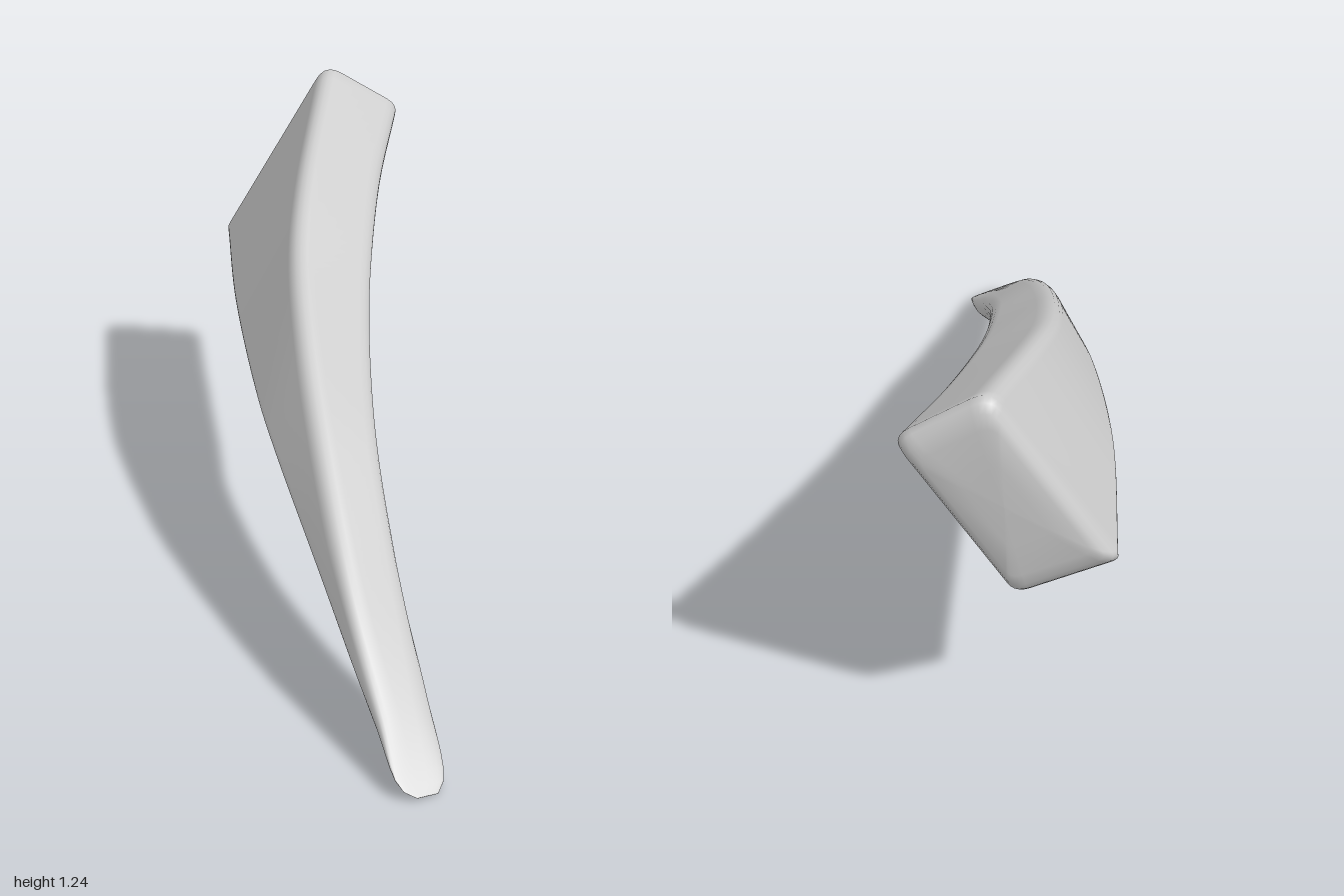
import * as THREE from 'three';

const curve = (...pts) => new THREE.CatmullRomCurve3(pts.map(p => new THREE.Vector3(...p)));

// The four long edges of the horn, from the broad base to the flat tip
const edges = [
  curve([-0.81, 1.25, -0.59], [-0.49, 1.06, -0.2], [-0.3, 0.94, 0], [-0.05, 0.79, 0.2], [0.24, 0.6, 0.4],
    [0.57, 0.36, 0.6], [0.8, 0.17, 0.71], [0.95, 0.04, 0.783], [0.985, 0.012, 0.755]),
  curve([-0.66, 1.1, -0.78], [-0.45, 0.98, -0.5], [-0.18, 0.82, -0.2], [0.03, 0.69, 0], [0.27, 0.55, 0.2],
    [0.57, 0.33, 0.4], [0.8, 0.16, 0.54], [0.98, 0.025, 0.65], [1, 0.002, 0.69]),
  curve([-0.84, 0.585, -0.53], [-0.4, 0.55, -0.2], [-0.17, 0.5, 0], [0.13, 0.41, 0.2], [0.47, 0.27, 0.4],
    [0.8, 0.1, 0.54], [0.98, 0.018, 0.65], [1, 0, 0.69]),
  curve([-1, 0.7, -0.31], [-0.6, 0.66, 0], [-0.2, 0.56, 0.26], [0, 0.5, 0.37], [0.4, 0.34, 0.56],
    [0.8, 0.12, 0.73], [0.95, 0.035, 0.783], [0.985, 0.01, 0.755]),
];
const radii = [0.06, 0.055, 0.04, 0.03];
const CORNER = 5, STEPS = 64;

const centreOf = pts => pts.reduce((s, p) => s.add(p), new THREE.Vector3()).divideScalar(pts.length);

// Four-sided cross-section with rounded corners
function section(u) {
  const raw = edges.map(e => e.getPointAt(u));
  const mid = centreOf(raw);
  const corners = raw.map((p, k) => {
    const r = Math.min(radii[k], 0.4 * p.distanceTo(raw[(k + 1) % 4]), 0.4 * p.distanceTo(raw[(k + 3) % 4]));
    return p.clone().addScaledVector(p.clone().sub(mid).normalize(), 0.2 * r);
  });
  const ring = [];
  corners.forEach((p, k) => {
    const toward = q => {
      const len = p.distanceTo(q);
      return p.clone().lerp(q, len > 1e-6 ? Math.min(radii[k] / len, 0.4) : 0);
    };
    const bend = new THREE.QuadraticBezierCurve3(toward(corners[(k + 3) % 4]), p, toward(corners[(k + 1) % 4]));
    ring.push(...bend.getPoints(CORNER));
  });
  return ring;
}

function hornGeometry() {
  const base = section(0), mid = centreOf(base);
  const outward = mid.clone().sub(centreOf(section(0.05))).normalize();

  // Domed base cap: rings grow from the pole to the rim
  const rings = [[0, 0.055], [0.4, 0.053], [0.75, 0.048], [0.88, 0.036], [0.96, 0.018]].map(([s, h]) =>
    base.map(p => mid.clone().lerp(p, s).addScaledVector(outward, h)));

  // Body, then a point closing the tip
  for (let i = 0; i <= STEPS; i++) rings.push(section(i / STEPS));
  const end = centreOf(rings[rings.length - 1]);
  rings.push(base.map(() => end));

  const n = base.length, index = [];
  for (let i = 0; i < rings.length - 1; i++) {
    for (let j = 0; j < n; j++) {
      const a = i * n + j, c = i * n + (j + 1) % n;
      index.push(a, a + n, c, c, a + n, c + n);
    }
  }
  const geometry = new THREE.BufferGeometry().setFromPoints(rings.flat());
  geometry.setIndex(index);
  geometry.computeVertexNormals();
  return geometry;
}

export function createModel() {
  const group = new THREE.Group();
  const horn = new THREE.Mesh(hornGeometry(), new THREE.MeshStandardMaterial({ color: 0xcccccc }));
  horn.name = 'horn';
  group.add(horn);
  return group;
}
